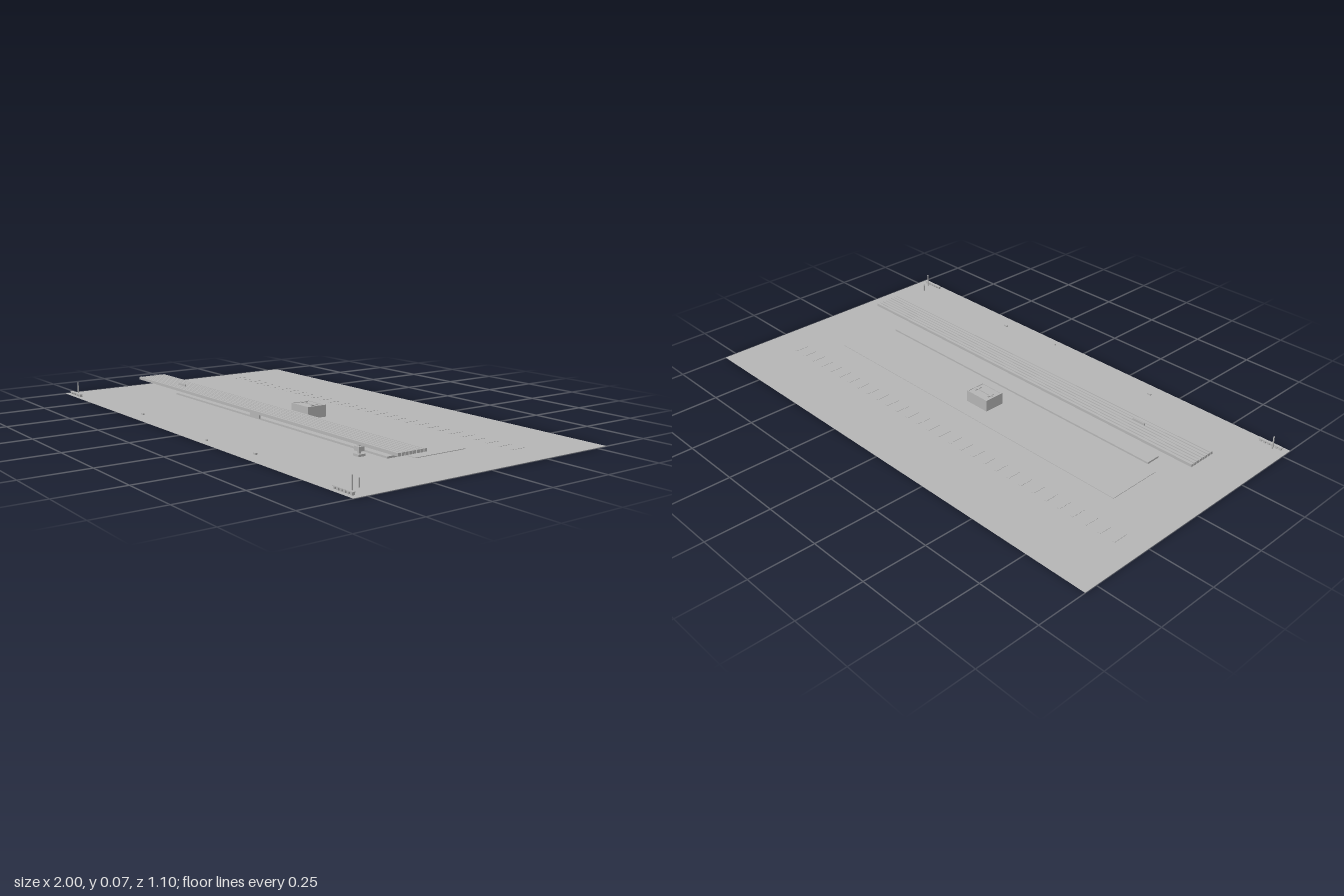
import * as THREE from 'three';

export function createModel() {
  const model = new THREE.Group();
  const grey = new THREE.MeshStandardMaterial({ color: 0xb4b4b4 });
  grey.name = 'concrete grey';

  // Box given by its limits on each axis
  function box(name, x0, x1, y0, y1, z0, z1, parent = model) {
    const mesh = new THREE.Mesh(new THREE.BoxGeometry(x1 - x0, y1 - y0, z1 - z0), grey);
    mesh.position.set((x0 + x1) / 2, (y0 + y1) / 2, (z0 + z1) / 2);
    mesh.name = name;
    parent.add(mesh);
    return mesh;
  }
  function group(name, x = 0, z = 0) {
    const g = new THREE.Group();
    g.name = name;
    g.position.set(x, 0, z);
    model.add(g);
    return g;
  }

  // Ground laid as panels
  const ground = group('ground');
  const xs = [-1, -0.6, -0.15, 0.14, 0.6, 1];
  const zs = [-0.55, -0.44, -0.27, 0.26, 0.43, 0.55];
  for (let i = 0; i < 5; i++)
    for (let j = 0; j < 5; j++)
      box('groundPanel', xs[i], xs[i + 1], 0, 0.001, zs[j], zs[j + 1], ground);

  // Low central pad and long step in front of it
  box('centralPad', -0.75, 0.75, 0.001, 0.003, -0.13, 0.095);
  box('longStep', -0.7, 0.7, 0.001, 0.008, 0.113, 0.173);

  // Row of floor markers behind the building
  const markers = group('floorMarkers');
  for (let i = 0; i < 30; i++) {
    const x = -0.9 + i * 0.0603;
    box('floorMarker', x - 0.006, x + 0.006, 0.001, 0.002, -0.305, -0.248, markers);
  }

  // Central building with walls, recessed roof and window bars
  const building = group('building');
  box('frontWall', -0.055, 0.055, 0.003, 0.05, 0.019, 0.025, building);
  box('backWall', -0.055, 0.055, 0.003, 0.05, -0.06, -0.054, building);
  for (const s of [-1, 1]) {
    box('sideWall', s * 0.052 - 0.003, s * 0.052 + 0.003, 0.003, 0.05, -0.054, 0.019, building);
    box('roofRib', s * 0.035 - 0.003, s * 0.035 + 0.003, 0.048, 0.051, -0.035, -0.005, building);
  }
  box('roof', -0.049, 0.049, 0.042, 0.048, -0.054, 0.019, building);
  box('roofRidge', -0.049, 0.049, 0.048, 0.051, -0.023, -0.018, building);

  // Long slatted canopy with a denser section
  const canopy = group('canopy');
  for (let i = 0; i < 8; i++) {
    const z = 0.151 + i * 0.0155;
    box('canopySlat', -0.86, 0.86, 0.053, 0.064, z - 0.006, z + 0.006, canopy);
    if (i < 7) box('infillSlat', 0.35, 0.68, 0.053, 0.058, z + 0.006, z + 0.0095, canopy);
  }
  box('canopyRidge', -0.59, -0.535, 0.064, 0.073, 0.219, 0.224, canopy);

  // Support tower under the canopy
  const support = group('support', 0.615, 0.222);
  box('supportBase', -0.015, 0.015, 0.001, 0.009, -0.014, 0.014, support);
  box('supportStem', -0.004, 0.004, 0.009, 0.053, -0.004, 0.004, support);
  box('supportBlock', -0.013, 0.013, 0.018, 0.034, -0.011, 0.011, support);
  box('supportHead', -0.012, 0.012, 0.044, 0.053, -0.011, 0.011, support);

  // Hanging board in the middle
  const board = group('hangingBoard', 0, 0.228);
  box('board', -0.03, 0.03, 0.026, 0.044, -0.004, 0.004, board);
  for (const s of [-1, 1])
    box('boardHanger', s * 0.024 - 0.002, s * 0.024 + 0.002, 0.044, 0.053, -0.002, 0.002, board);

  // Corner barriers with poles, and small kerb blocks
  for (const s of [-1, 1]) {
    const corner = group('cornerBarrier', s * 0.93, 0.53);
    box('barrierRail', -0.048, 0.048, 0.009, 0.012, -0.006, 0.006, corner);
    for (let i = 0; i < 6; i++)
      box('barrierPost', -0.046 + i * 0.0165, -0.037 + i * 0.0165, 0.001, 0.009, -0.005, 0.005, corner);
    box('barrierPole', s * 0.018 - 0.002, s * 0.018 + 0.002, 0.001, 0.054, -0.018, -0.014, corner);
    box('kerbBlock', s * 0.4 - 0.008, s * 0.4 + 0.008, 0.001, 0.007, 0.486, 0.494);
  }
  box('shortPole', 0.918, 0.922, 0.001, 0.032, 0.464, 0.468);
  box('floorStud', 0.13, 0.138, 0.001, 0.006, 0.516, 0.522);

  return model;
}
